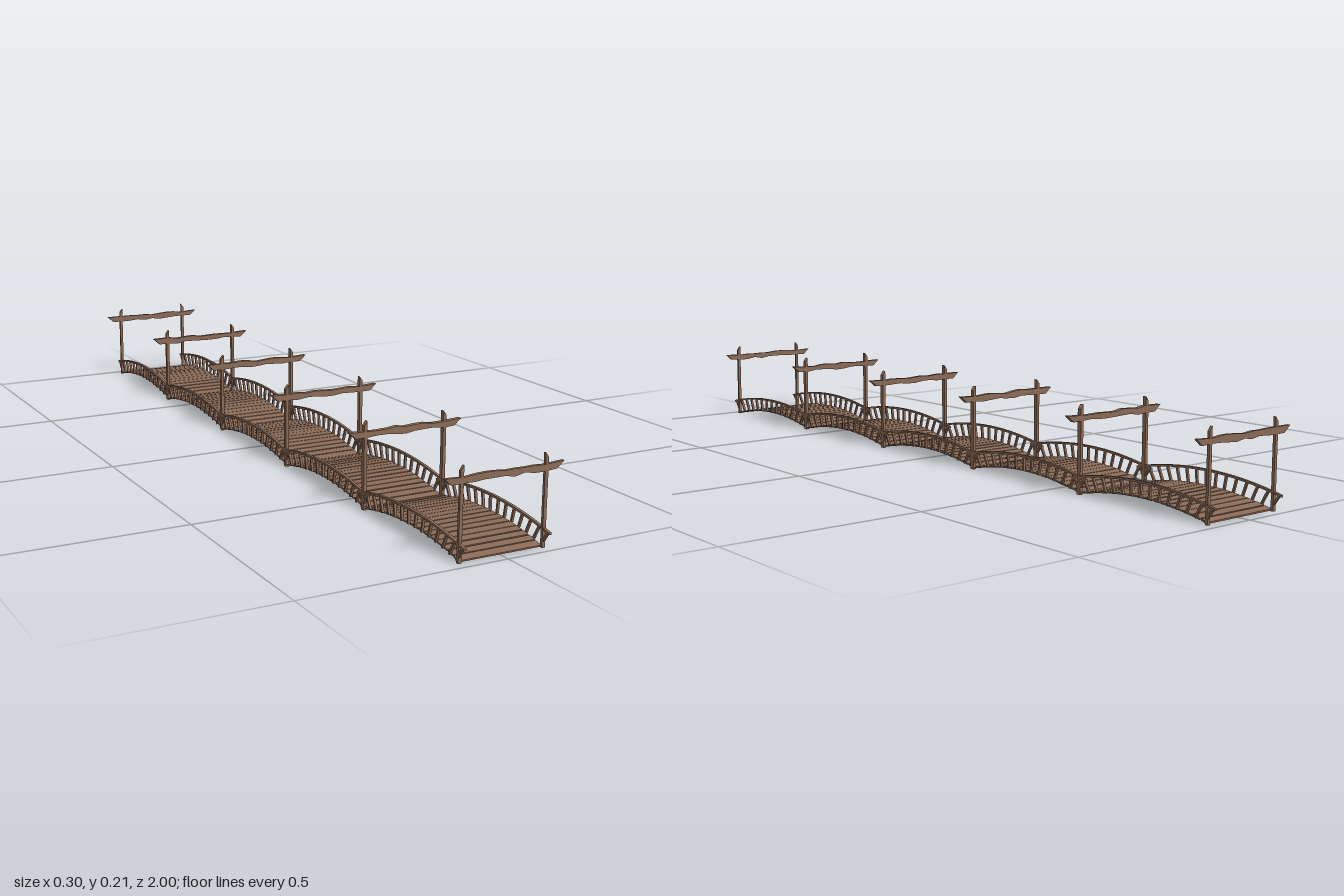
import * as THREE from 'three';

const SPANS = 5, PITCH = 0.39, HALF = PITCH / 2, RAIL_HALF = 0.218;
const wood = new THREE.MeshStandardMaterial({ color: 0x8a6a57, flatShading: true });

// small seeded random in -1..1
function seeded(seed) {
  let s = seed;
  return () => ((s = (s * 16807) % 2147483647) / 2147483647) * 2 - 1;
}

function add(parent, geometry, name) {
  const mesh = new THREE.Mesh(geometry, wood);
  mesh.name = name;
  parent.add(mesh);
  return mesh;
}

// arch curves across one span, u runs -1..1
const deckPoint = (u) => ({ z: u * HALF, y: 0.026 - 0.023 * u * u });
const railPoint = (u) => ({ z: u * RAIL_HALF, y: 0.062 - 0.025 * u * u });

// curved handrail, a bent strip extruded across x
function railGeometry() {
  const top = [], bottom = [];
  for (let i = 0; i <= 16; i++) {
    const p = railPoint(i / 8 - 1);
    top.push(new THREE.Vector2(p.z, p.y + 0.0025));
    bottom.unshift(new THREE.Vector2(p.z, p.y - 0.0025));
  }
  const g = new THREE.ExtrudeGeometry(new THREE.Shape([...top, ...bottom]), { depth: 0.007, bevelEnabled: false });
  return g.translate(0, 0, -0.0035).rotateY(-Math.PI / 2);
}

// post with a slanted top, higher on its inner (-x) edge
function postGeometry(depth) {
  const w = 0.004;
  const shape = new THREE.Shape([
    new THREE.Vector2(-w, 0), new THREE.Vector2(w, 0),
    new THREE.Vector2(w, 0.2), new THREE.Vector2(-w, 0.211),
  ]);
  return new THREE.ExtrudeGeometry(shape, { depth, bevelEnabled: false }).translate(0, 0, -depth / 2);
}

// rough-hewn crossbeam with pointed, undercut ends
function beamGeometry(rand, depth) {
  const top = [new THREE.Vector2(0.15, 0.188)], bottom = [new THREE.Vector2(-0.132, 0.172)];
  for (let i = -4; i <= 4; i++) {
    const sway = rand() * 0.0025;
    top.push(new THREE.Vector2(-i * 0.025, 0.187 + sway + rand() * 0.001));
    bottom.push(new THREE.Vector2(i * 0.025, 0.172 + rand() * 0.003));
  }
  top.push(new THREE.Vector2(-0.15, 0.188));
  bottom.push(new THREE.Vector2(0.132, 0.172));
  const g = new THREE.ExtrudeGeometry(new THREE.Shape([...top, ...bottom]), { depth, bevelEnabled: false });
  return g.translate(0, 0, -depth / 2);
}

function createSpan(index, rail) {
  const span = new THREE.Group();
  span.name = 'span' + (index + 1);
  const rand = seeded(101 + index * 37);

  // deck planks following the arch, with slightly uneven gaps
  const planks = 17;
  for (let i = 0; i < planks; i++) {
    const u = ((i + 0.5) / planks) * 2 - 1;
    const p = deckPoint(u);
    const width = 0.0205 + rand() * 0.0015;
    const plank = add(span, new THREE.BoxGeometry(0.208, 0.004, width), 'plank');
    plank.position.set(rand() * 0.0008, p.y, p.z + rand() * 0.0006);
    plank.rotation.x = Math.atan(0.046 * u / HALF) + rand() * 0.015;
  }

  for (const side of [-1, 1]) {
    add(span, rail, 'handrail').position.x = side * 0.107;
    // balusters fanning out from the deck edge to the rail
    const count = 15;
    for (let i = 0; i < count; i++) {
      const u = (i / (count - 1)) * 1.94 - 0.97;
      const a = deckPoint(u), b = railPoint(u);
      const dz = b.z - a.z, dy = b.y - a.y;
      const bar = add(span, new THREE.BoxGeometry(0.006, Math.hypot(dy, dz), 0.005), 'baluster');
      bar.position.set(side * 0.107, (a.y + b.y) / 2, (a.z + b.z) / 2);
      bar.rotation.x = Math.atan2(dz, dy);
    }
  }
  return span;
}

function createGate(index) {
  const gate = new THREE.Group();
  gate.name = 'gate' + (index + 1);
  const end = index === 0 || index === SPANS;
  const depth = end ? 0.007 : 0.011;
  const post = postGeometry(depth);
  const left = add(gate, post, 'leftPost');
  left.position.x = 0.106;
  const right = add(gate, post, 'rightPost');
  right.position.x = -0.106;
  right.rotation.y = Math.PI;
  add(gate, beamGeometry(seeded(911 + index * 53), depth + 0.001), 'crossbeam');
  return gate;
}

export function createModel() {
  const model = new THREE.Group();
  model.name = 'archedFootbridge';
  const rail = railGeometry();
  // arched spans laid end to end
  for (let i = 0; i < SPANS; i++) {
    const span = createSpan(i, rail);
    span.position.z = (i - (SPANS - 1) / 2) * PITCH;
    model.add(span);
  }
  // a post-and-beam gate at every joint
  for (let i = 0; i <= SPANS; i++) {
    const gate = createGate(i);
    gate.position.z = (i - SPANS / 2) * PITCH;
    model.add(gate);
  }
  return model;
}
